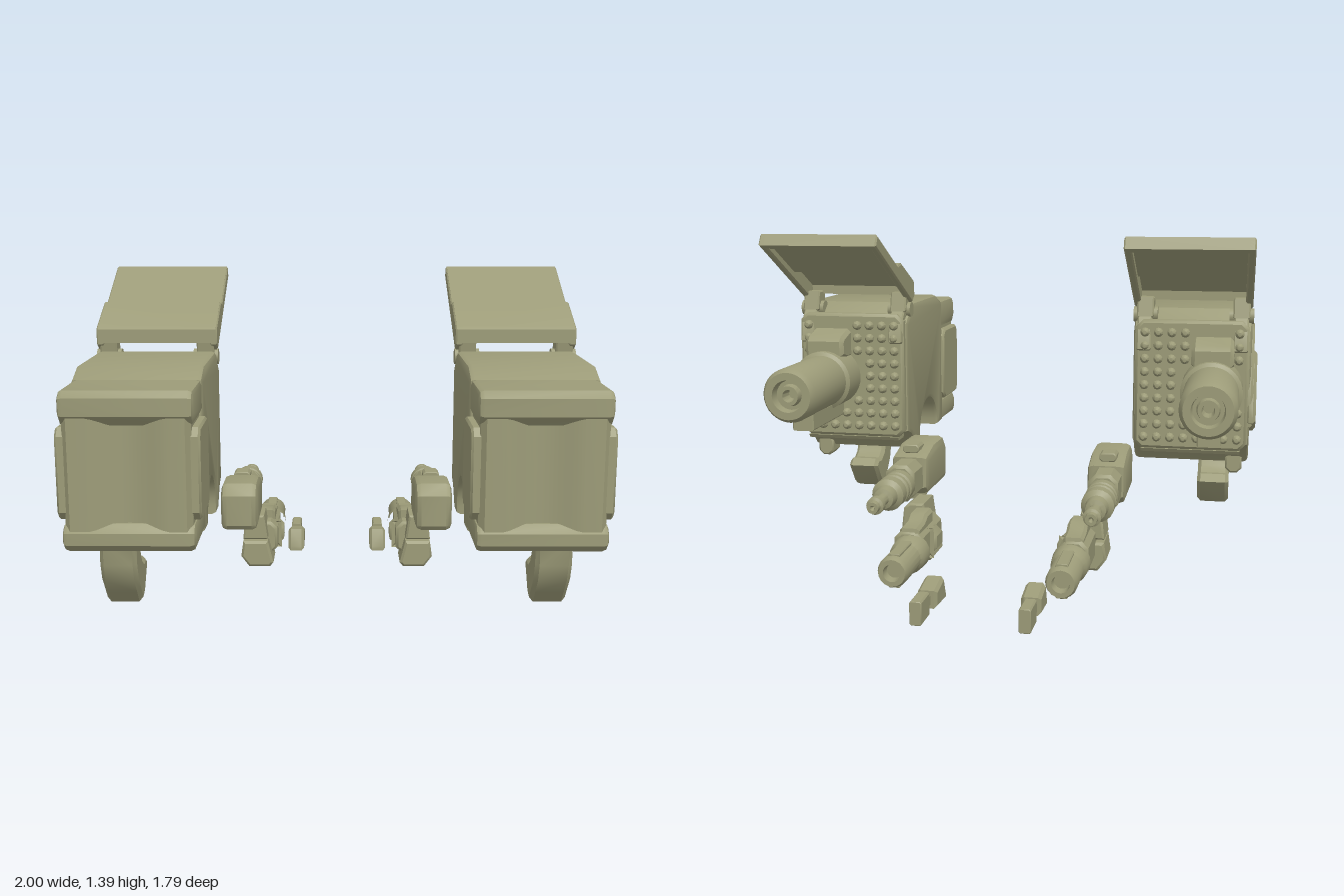
import * as THREE from 'three';
import { toCreasedNormals } from 'three/addons/utils/BufferGeometryUtils.js';

const olive = new THREE.MeshStandardMaterial({ color: 0x9c9b78 });
olive.name = 'olive armour';

function add(group, name, geo) {
  const m = new THREE.Mesh(toCreasedNormals(geo, 0.6), olive);
  m.name = name;
  group.add(m);
  return m;
}

function extrude(pts, depth, b) {
  const shape = new THREE.Shape(pts.map(p => new THREE.Vector2(p[0], p[1])));
  return new THREE.ExtrudeGeometry(shape, {
    depth: depth - 2 * b, bevelEnabled: b > 0, bevelThickness: b, bevelSize: b,
    bevelOffset: -b, bevelSegments: b > 0.015 ? 2 : 1, curveSegments: 8
  });
}

// side profile of [z, y] points, spanning x0..x1
function slab(pts, x0, x1, b = 0) {
  return extrude(pts, x1 - x0, b).rotateY(-Math.PI / 2).translate(x1 - b, 0, 0);
}

// front outline of [x, y] points, spanning z0..z1
function prism(pts, z0, z1, b = 0) {
  return extrude(pts, z1 - z0, b).translate(0, 0, z0 + b);
}

// chamfered block
function block(x0, x1, y0, y1, z0, z1, c = 0.02) {
  return prism([[x0 + c, y0], [x1 - c, y0], [x1, y0 + c], [x1, y1 - c],
    [x1 - c, y1], [x0 + c, y1], [x0, y1 - c], [x0, y0 + c]], z0, z1, c * 0.4);
}

// turned part along z from [z, radius] points, running towards the back
function turned(pts, x, y, seg = 24) {
  return new THREE.LatheGeometry(pts.map(([z, r]) => new THREE.Vector2(r, -z)), seg)
    .rotateX(-Math.PI / 2).translate(x, y, 0);
}

function buildPod(g) {
  // main housing with the round cut-out below
  const outline = [[0.63, 1.04], [0.53, 1.08], [0.13, 1.08], [0.08, 1.04], [0.03, 1.0],
    [0.03, 0.52], [0.09, 0.5], [0.17, 0.42], [0.225, 0.42]];
  for (let i = 0; i <= 16; i++) {
    const a = Math.PI * (1 - i / 16);
    outline.push([0.38 + 0.155 * Math.cos(a), 0.455 + 0.155 * Math.sin(a)]);
  }
  outline.push([0.63, 0.46]);
  add(g, 'housing', slab(outline, 0.49, 0.975, 0.02));

  // front block: lips above and below a scooped face
  add(g, 'upperFrontLip', slab([[0.6, 1.04], [0.865, 1.04], [0.89, 1.015], [0.89, 0.95],
    [0.86, 0.915], [0.6, 0.915]], 0.495, 0.97, 0.02));
  add(g, 'lowerFrontLip', slab([[0.6, 0.46], [0.865, 0.46], [0.89, 0.485], [0.89, 0.53],
    [0.86, 0.56], [0.6, 0.56]], 0.495, 0.97, 0.02));
  const face = [[0.505, 0.6], [0.505, 0.86], [0.525, 0.885]];
  for (let i = 0; i <= 12; i++) {
    const t = i / 12;
    face.push([0.59 + 0.285 * t, 0.885 - 0.035 * Math.sin(Math.PI * t) ** 1.5]);
  }
  face.push([0.94, 0.885], [0.96, 0.86], [0.96, 0.6]);
  add(g, 'scoopedFront', extrude(face, 0.42, 0).rotateX(Math.PI / 2).translate(0, 0.95, 0));

  // side panels
  const panel = [[0.6, 0.6], [0.63, 0.57], [0.84, 0.57], [0.865, 0.6], [0.865, 0.875],
    [0.84, 0.905], [0.63, 0.905], [0.6, 0.875]];
  add(g, 'outerPanel', slab(panel, 0.94, 0.988, 0.008));
  add(g, 'innerPanel', slab(panel, 0.475, 0.52, 0.008));

  // raised armour on the outer side
  add(g, 'outerArmour', slab([[0.625, 0.94], [0.49, 0.94], [0.4, 1.0], [0.2, 0.99],
    [0.06, 0.85], [0.02, 0.7], [0.02, 0.6], [0.1, 0.58], [0.2, 0.69], [0.56, 0.69],
    [0.56, 0.74], [0.625, 0.74]], 0.95, 0.987, 0.01));
  add(g, 'chevron', slab([[0.19, 0.9], [0.14, 0.9], [0.01, 0.68], [0.01, 0.62],
    [0.13, 0.565], [0.235, 0.665], [0.2, 0.7]], 0.96, 1.0, 0.012));

  // missile rack at the back
  add(g, 'rackFrame', block(0.5, 0.965, 0.5, 1.04, 0.0, 0.06, 0.03));
  add(g, 'rackFoot', slab([[0.1, 0.5], [0.0, 0.5], [0.01, 0.485], [0.08, 0.485]], 0.53, 0.94));
  const rack = new THREE.Group();
  rack.name = 'missileRack';
  for (let r = 0; r < 9; r++) for (let c = 0; c < 8; c++) {
    const x = 0.54 + c * 0.055, y = 0.55 + r * 0.055;
    if (Math.hypot(x - 0.82, y - 0.765) < 0.13 || (x > 0.72 && x < 0.92 && y > 0.76)) continue;
    add(rack, 'missileTip', turned([[0.002, 0.02], [-0.012, 0.018], [-0.024, 0.009], [-0.026, 0]], x, y, 10));
  }
  g.add(rack);

  // main cannon
  add(g, 'cannon', turned([[0.02, 0.125], [-0.14, 0.125], [-0.15, 0.11], [-0.505, 0.11],
    [-0.53, 0.095], [-0.53, 0.065], [-0.49, 0.06], [-0.49, 0.045], [-0.52, 0.04],
    [-0.52, 0.025], [-0.46, 0.02], [-0.46, 0]], 0.82, 0.765, 32));
  add(g, 'cannonCowl', slab([[0.04, 1.0], [0, 0.975], [-0.09, 0.95], [-0.11, 0.93],
    [-0.11, 0.865], [-0.05, 0.85], [0.04, 0.85]], 0.735, 0.905, 0.015));
  add(g, 'cannonRail', slab([[0.02, 0.595], [-0.375, 0.595], [-0.375, 0.67], [0.02, 0.67]], 0.775, 0.865, 0.006));

  // hinge and opened lid
  for (const x of [0.535, 0.93]) {
    add(g, 'hingePin', new THREE.CylinderGeometry(0.032, 0.032, 0.1, 16).rotateZ(Math.PI / 2).translate(x, 1.055, 0.09));
    add(g, 'hingeArm', slab([[0.135, 1.13], [0.06, 1.13], [0.04, 1.05], [0.12, 1.03]], x - 0.035, x + 0.035, 0.006));
    add(g, 'hingeBracket', slab([[0.1, 1.03], [0.04, 1.05], [0.0, 1.0], [-0.015, 0.92], [0.03, 0.9]], x - 0.03, x + 0.03, 0.006));
  }
  const lid = new THREE.Group();
  lid.name = 'lid';
  add(lid, 'lidSkin', slab([[0.14, 1.17], [0.125, 1.183], [-0.05, 1.265], [-0.1, 1.255], [-0.375, 1.395],
    [-0.387, 1.372], [-0.1, 1.225], [-0.05, 1.235], [0.125, 1.145]], 0.49, 0.97));
  const rim = [[0.14, 1.11], [0.14, 1.17], [0.125, 1.183], [-0.05, 1.265], [-0.1, 1.255],
    [-0.375, 1.395], [-0.402, 1.35], [0.105, 1.085]];
  add(lid, 'lidInnerRim', slab(rim, 0.485, 0.515, 0.006));
  add(lid, 'lidOuterRim', slab(rim, 0.945, 0.975, 0.006));
  add(lid, 'lidTopRim', slab([[-0.375, 1.395], [-0.402, 1.35], [-0.375, 1.336], [-0.35, 1.382]], 0.495, 0.965));
  add(lid, 'lidFrontRim', slab([[0.14, 1.115], [0.14, 1.17], [0.11, 1.185], [0.11, 1.115]], 0.495, 0.965));
  g.add(lid);

  // hook and peg underneath
  add(g, 'hook', slab([[0.66, 0.47], [0.635, 0.42], [0.635, 0.33], [0.61, 0.26], [0.56, 0.2],
    [0.515, 0.145], [0.46, 0.165], [0.38, 0.27], [0.415, 0.3], [0.46, 0.295], [0.5, 0.32],
    [0.53, 0.37], [0.535, 0.47]], 0.755, 0.895, 0.015));
  add(g, 'peg', block(0.88, 0.95, 0.375, 0.47, 0.14, 0.235, 0.02));
}

function buildUpperGun(g) {
  add(g, 'receiver', slab([[0.095, 0.33], [0.095, 0.46], [0.05, 0.505], [-0.1, 0.505], [-0.235, 0.47],
    [-0.235, 0.34], [-0.2, 0.31], [0.08, 0.31]], 0.335, 0.49, 0.025));
  add(g, 'sight', block(0.38, 0.45, 0.48, 0.515, -0.2, -0.115, 0.01));
  add(g, 'grip', slab([[-0.02, 0.32], [-0.05, 0.285], [-0.13, 0.265], [-0.14, 0.32]], 0.375, 0.445, 0.008));
  add(g, 'foreEnd', block(0.355, 0.475, 0.315, 0.465, -0.37, -0.22, 0.03));
  add(g, 'barrel', turned([[-0.36, 0.064], [-0.41, 0.064], [-0.415, 0.055], [-0.43, 0.055],
    [-0.435, 0.064], [-0.455, 0.064], [-0.46, 0.055], [-0.475, 0.055], [-0.48, 0.064],
    [-0.53, 0.064], [-0.545, 0.045], [-0.59, 0.04], [-0.595, 0.024], [-0.66, 0.024],
    [-0.665, 0.034], [-0.695, 0.034], [-0.7, 0.024], [-0.725, 0.022], [-0.725, 0.01],
    [-0.7, 0]], 0.415, 0.385, 20));
}

function buildLowerGun(g) {
  add(g, 'upperBlock', prism([[0.31, 0.19], [0.42, 0.19], [0.41, 0.28], [0.385, 0.3], [0.325, 0.3]], -0.335, -0.175, 0.008));
  add(g, 'lowerBlock', prism([[0.285, 0.08], [0.3, 0.063], [0.395, 0.063], [0.43, 0.11], [0.42, 0.18],
    [0.31, 0.18]], -0.345, -0.175, 0.01));
  add(g, 'core', block(0.27, 0.385, 0.1, 0.25, -0.56, -0.25, 0.03));
  add(g, 'topCover', slab([[-0.33, 0.285], [-0.42, 0.285], [-0.46, 0.265], [-0.55, 0.26], [-0.56, 0.2],
    [-0.33, 0.2]], 0.285, 0.365, 0.012));
  add(g, 'sideDrum', block(0.245, 0.3, 0.115, 0.225, -0.44, -0.33, 0.03));
  add(g, 'barrel', turned([[-0.54, 0.075], [-0.61, 0.07], [-0.625, 0.06], [-0.79, 0.06], [-0.81, 0.052],
    [-0.81, 0.034], [-0.77, 0.03], [-0.77, 0]], 0.318, 0.163, 20));
  for (const y of [0.105, 0.221])
    add(g, 'barrelRib', block(0.295, 0.34, y - 0.008, y + 0.008, -0.78, -0.6, 0.004));
}

function buildSmallPiece(g) {
  add(g, 'wedge', slab([[-0.605, 0.005], [-0.605, 0.025], [-0.64, 0.105], [-0.755, 0.085],
    [-0.755, 0.015]], 0.16, 0.237, 0.012));
  add(g, 'neck', block(0.185, 0.222, 0.02, 0.075, -0.8, -0.74, 0.01));
  add(g, 'tail', block(0.18, 0.226, 0.0, 0.092, -0.9, -0.785, 0.006));
}

export function createModel() {
  const model = new THREE.Group();
  model.name = 'weaponSet';
  for (const [label, s] of [['left', 1], ['right', -1]]) {
    const side = new THREE.Group();
    side.name = label + 'Side';
    for (const [name, build] of [['Pod', buildPod], ['UpperGun', buildUpperGun],
      ['LowerGun', buildLowerGun], ['SmallPiece', buildSmallPiece]]) {
      const part = new THREE.Group();
      part.name = label + name;
      build(part);
      side.add(part);
    }
    side.scale.x = s;
    model.add(side);
  }
  return model;
}
